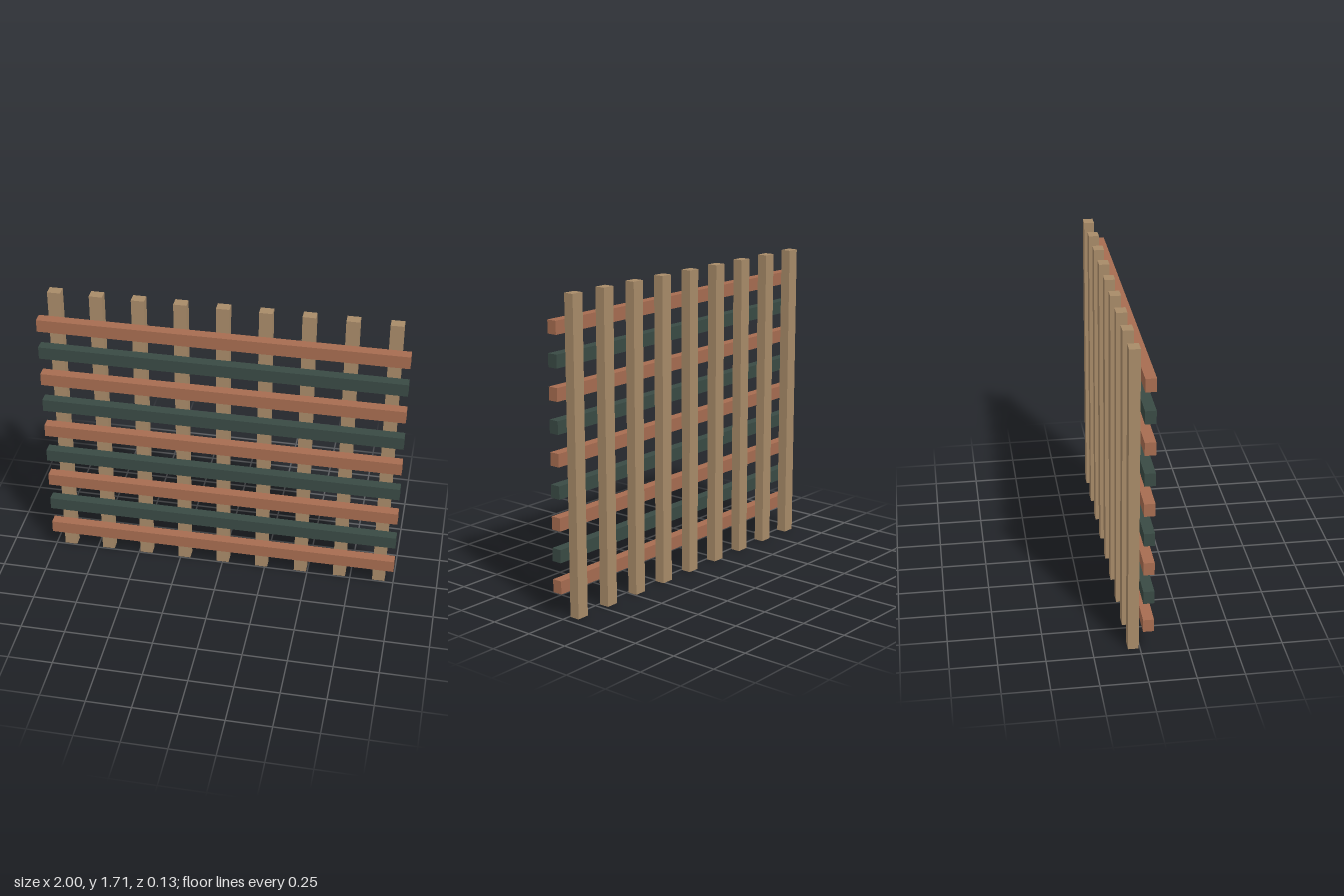
import * as THREE from 'three';

export function createModel() {
  const group = new THREE.Group();
  group.name = 'slattedScreen';

  const material = (name, color) => {
    const m = new THREE.MeshStandardMaterial({ color });
    m.name = name;
    return m;
  };
  const tan = material('tan wood', 0xa78a68);
  const terracotta = material('terracotta', 0xa66c50);
  const darkGreen = material('dark green', 0x394a44);

  // All sizes are multiples of one small unit
  const u = 2 / 35;
  const count = 9, height = 30 * u, thick = 1.25 * u, depth = u;
  const offsetZ = 0.625 * u; // leaves a thin gap between the two layers

  const uprightGeometry = new THREE.BoxGeometry(thick, height, depth);
  const slatGeometry = new THREE.BoxGeometry(2, thick, depth);

  const add = (name, geometry, mat, x, y, z) => {
    const mesh = new THREE.Mesh(geometry, mat);
    mesh.name = name;
    mesh.position.set(x, y, z);
    group.add(mesh);
  };

  for (let i = 0; i < count; i++) {
    // Back layer: vertical posts
    add(`upright${i + 1}`, uprightGeometry, tan, (i - 4) * 4 * u, height / 2, -offsetZ);
    // Front layer: horizontal slats in alternating colours
    add(`slat${i + 1}`, slatGeometry, i % 2 ? darkGreen : terracotta, 0, (i + 1) * 3 * u, offsetZ);
  }

  return group;
}
